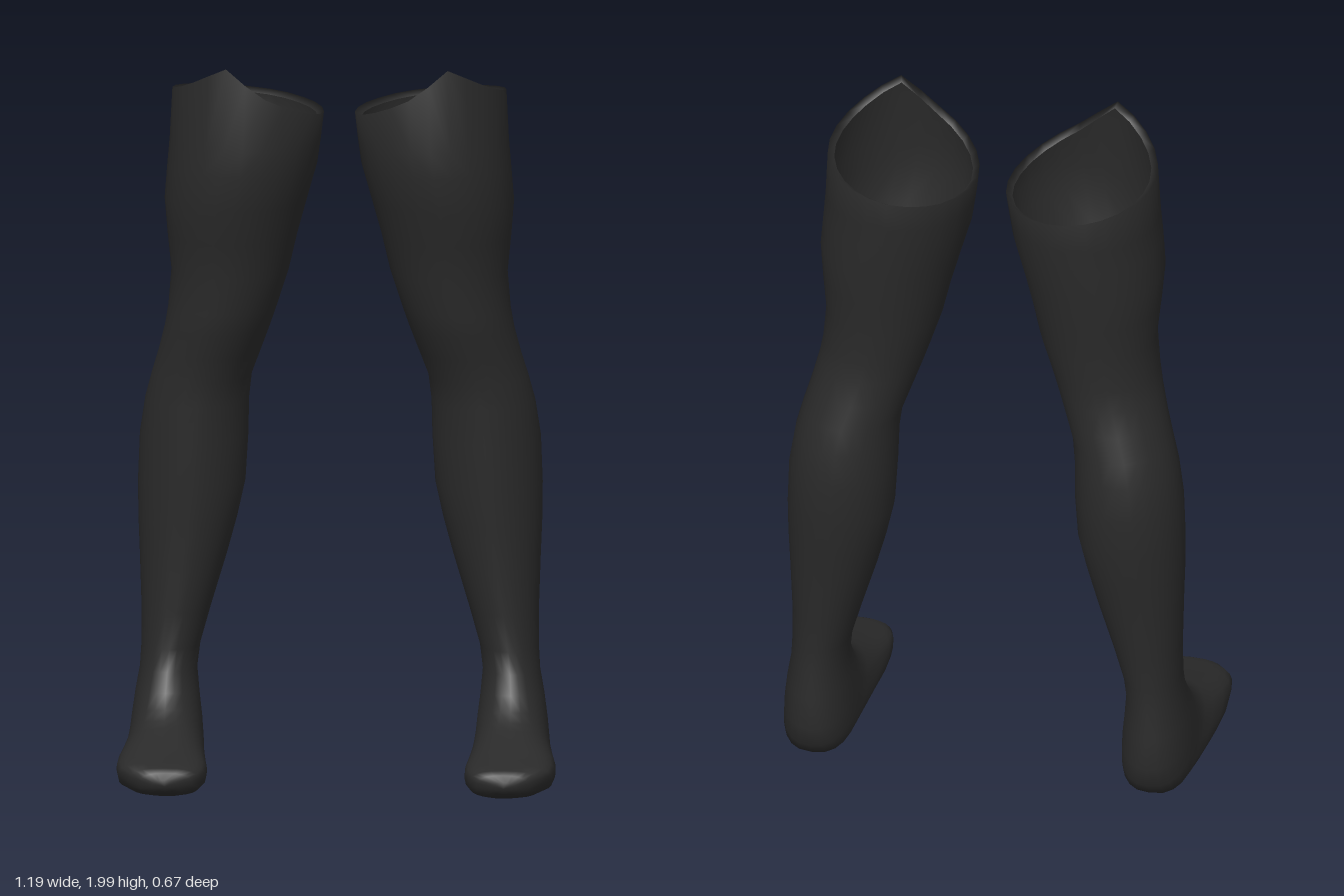
import * as THREE from 'three';

const SEG = 24;

// Rim height every 15 degrees, from the outer side round by the front
const RIM = [1.905, 1.915, 1.93, 1.95, 1.975, 2.0, 1.955, 1.915, 1.89, 1.87, 1.855, 1.845,
  1.84, 1.84, 1.842, 1.845, 1.85, 1.855, 1.86, 1.868, 1.875, 1.882, 1.89, 1.898];

// Level leg sections: y, inner x, outer x, back z, front z
const LEG = [
  [1.77, 0.05, 0.461, -0.308, 0.129],
  [1.7, 0.06, 0.467, -0.303, 0.129],
  [1.6, 0.088, 0.475, -0.295, 0.113],
  [1.5, 0.115, 0.467, -0.283, 0.085],
  [1.4, 0.138, 0.457, -0.272, 0.062],
  [1.3, 0.17, 0.465, -0.268, 0.05],
  [1.24, 0.19, 0.475, -0.272, 0.036],
  [1.17, 0.215, 0.492, -0.287, 0.015],
  [1.1, 0.24, 0.512, -0.307, -0.002],
  [1.03, 0.248, 0.53, -0.323, -0.008],
  [0.93, 0.25, 0.545, -0.334, -0.014],
  [0.8, 0.258, 0.55, -0.323, -0.023],
  [0.7, 0.28, 0.549, -0.308, -0.031],
  [0.6, 0.307, 0.545, -0.294, -0.038],
  [0.45, 0.352, 0.54, -0.275, -0.045],
  [0.35, 0.38, 0.54, -0.268, -0.045],
];

// Tilted foot sections, fanning from ankle to toe:
// inner x, outer x, back/sole z and y, front/instep z and y, squareness
const FOOT = [
  [0.388, 0.544, -0.27, 0.28, -0.03, 0.29, 2],
  [0.382, 0.556, -0.278, 0.2, 0.0, 0.238, 2.1],
  [0.374, 0.565, -0.286, 0.11, 0.04, 0.2, 2.2],
  [0.37, 0.57, -0.272, 0.05, 0.075, 0.178, 2.4],
  [0.367, 0.574, -0.245, 0.012, 0.105, 0.163, 2.6],
  [0.364, 0.582, -0.15, 0.01, 0.15, 0.147, 2.8],
  [0.357, 0.593, -0.02, 0.014, 0.2, 0.128, 3],
  [0.35, 0.597, 0.1, 0.016, 0.245, 0.115, 3],
  [0.352, 0.59, 0.2, 0.013, 0.28, 0.106, 3],
  [0.365, 0.56, 0.27, 0.014, 0.31, 0.098, 2.8],
  [0.385, 0.53, 0.305, 0.02, 0.326, 0.088, 2.5],
  [0.425, 0.495, 0.325, 0.035, 0.333, 0.07, 2],
];

// One closed section; n sets how square the ellipse is
function ring(xi, xo, zb, yb, zf, yf, n = 2) {
  return Array.from({ length: SEG }, (_, j) => {
    const a = (j / SEG) * Math.PI * 2;
    const bend = (v) => Math.sign(v) * Math.abs(v) ** (2 / n);
    const u = (bend(Math.cos(a)) + 1) / 2;
    const t = (bend(Math.sin(a)) + 1) / 2;
    return [xi + (xo - xi) * u, yb + (yf - yb) * t, zb + (zf - zb) * t];
  });
}

// Skin the sections from the rim to a closed toe; side is +1 or -1
function stockingGeometry(side) {
  const rim = (inset, drop) => ring(0.042 + inset, 0.454 - inset, -0.314 + inset, 0, 0.122 - inset, 0)
    .map(([x, , z], j) => [x, RIM[j] - drop, z]);
  const rings = [
    rim(0.018, 0.012), // turned-in lip
    rim(0, 0),
    ...LEG.map(([y, xi, xo, zb, zf]) => ring(xi, xo, zb, y, zf, y)),
    ...FOOT.map((f) => ring(...f)),
  ];
  const points = rings.flat();
  points.push([0.46, 0.052, 0.334]); // toe tip
  const tip = points.length - 1;

  const index = [];
  const tri = (a, b, c) => (side > 0 ? index.push(a, b, c) : index.push(a, c, b));
  for (let i = 0; i < rings.length; i++) {
    for (let j = 0; j < SEG; j++) {
      const a = i * SEG + j;
      const b = i * SEG + ((j + 1) % SEG);
      if (i === rings.length - 1) {
        tri(a, b, tip);
      } else {
        tri(a, b, a + SEG);
        tri(b, b + SEG, a + SEG);
      }
    }
  }
  const geometry = new THREE.BufferGeometry();
  geometry.setAttribute('position',
    new THREE.Float32BufferAttribute(points.flatMap(([x, y, z]) => [x * side, y, z]), 3));
  geometry.setIndex(index);
  geometry.computeVertexNormals();
  return geometry;
}

export function createModel() {
  const group = new THREE.Group();
  group.name = 'stockings';
  const fabric = new THREE.MeshStandardMaterial({ color: 0x2a2a2a, side: THREE.DoubleSide });
  fabric.name = 'black fabric';

  for (const [name, side] of [['leftStocking', 1], ['rightStocking', -1]]) {
    const mesh = new THREE.Mesh(stockingGeometry(side), fabric);
    mesh.name = name;
    group.add(mesh);
  }
  return group;
}
